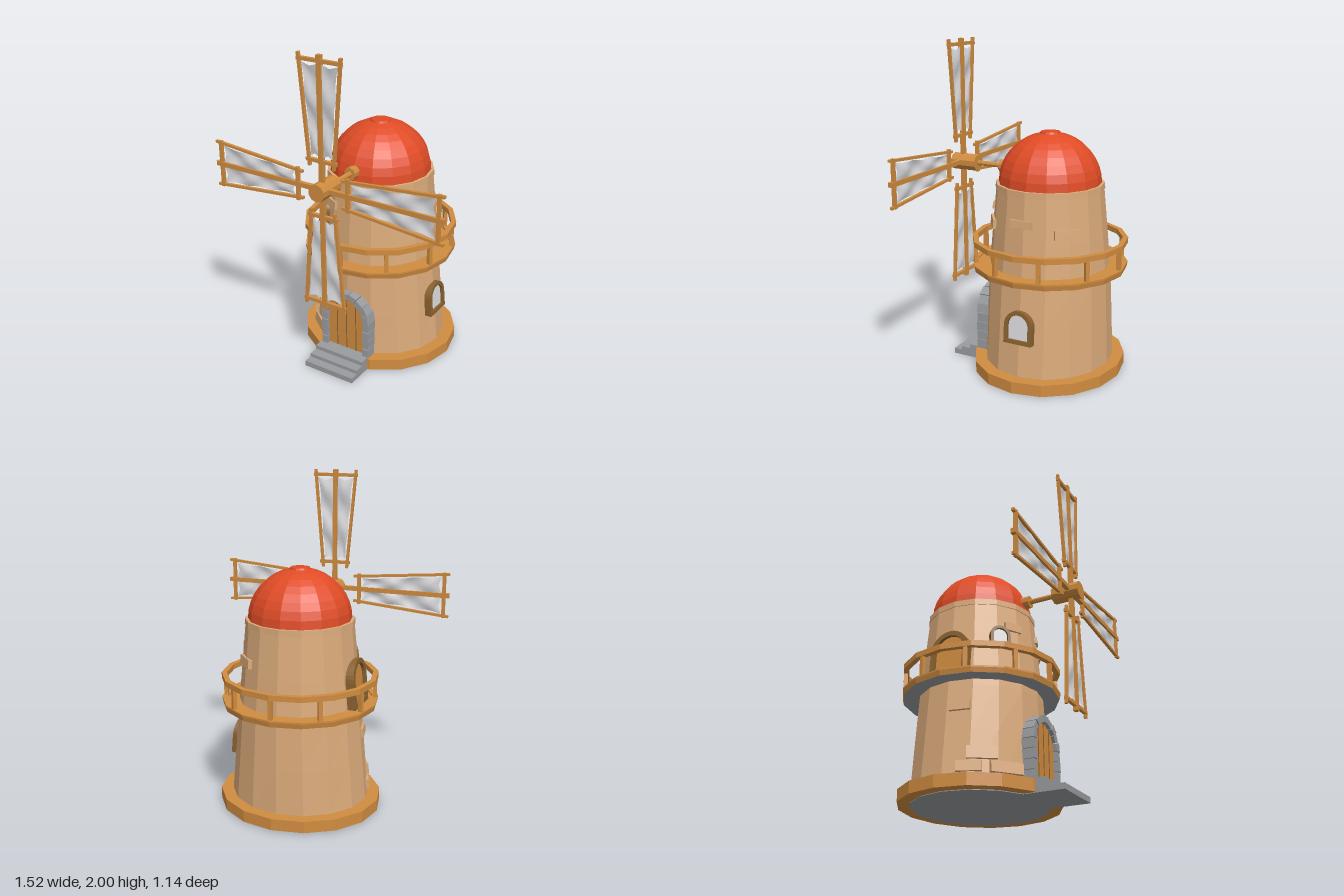
import * as THREE from 'three';

const mat = (name, color, side = THREE.FrontSide) => {
  const m = new THREE.MeshStandardMaterial({ color, side });
  m.name = name;
  return m;
};

// Facet a geometry so each face has its own normal
function flat(g) {
  const f = g.index ? g.toNonIndexed() : g;
  f.computeVertexNormals();
  return f;
}

export function createModel() {
  const wood = mat('wood', 0xd08c40);
  const darkWood = mat('darkWood', 0x8a6230);
  const plaster = mat('plaster', 0xdaaa7a);
  const stone = mat('stone', 0x999b9e);
  const roofRed = mat('roofRed', 0xe04c26);
  const cloth = mat('cloth', 0xdcdcdf, THREE.DoubleSide);
  const SIDES = 16;

  const model = new THREE.Group();
  model.name = 'windmill';
  const tower = new THREE.Group();
  tower.name = 'tower';
  tower.position.z = -0.1;
  model.add(tower);

  const add = (parent, name, geo, material, x = 0, y = 0, z = 0) => {
    const m = new THREE.Mesh(geo, material);
    m.name = name;
    m.position.set(x, y, z);
    parent.add(m);
    return m;
  };
  const box = (w, h, d) => new THREE.BoxGeometry(w, h, d);
  const lathe = (pts) =>
    flat(new THREE.LatheGeometry(pts.map(([r, y]) => new THREE.Vector2(r, y)), SIDES));
  const drum = (rTop, rBottom, h, n = SIDES) => flat(new THREE.CylinderGeometry(rTop, rBottom, h, n));

  // Wall radius and depth squash by height
  const wallR = (y) => 0.425 - 0.1 * (y - 0.075) / 1.065;
  const squash = (y) => THREE.MathUtils.clamp(0.92 + 0.08 * (y - 0.075) / 0.575, 0.92, 1);

  // Footing with a stone underside
  add(tower, 'footing', drum(0.5, 0.5, 0.071), wood, 0, 0.0395, 0).scale.z = 0.925;
  add(tower, 'footingUnderside', drum(0.425, 0.425, 0.004), stone, 0, 0.002, 0).scale.z = 0.925;

  // Tapered wall
  const wall = new THREE.CylinderGeometry(wallR(1.14), wallR(0.075), 1.065, SIDES, 4);
  wall.translate(0, 0.075 + 1.065 / 2, 0);
  const wp = wall.attributes.position;
  for (let i = 0; i < wp.count; i++) wp.setZ(i, wp.getZ(i) * squash(wp.getY(i)));
  add(tower, 'wall', flat(wall), plaster);
  add(tower, 'wallTopBand', drum(0.328, 0.33, 0.036), plaster, 0, 1.155, 0);

  // Domed roof
  const domePts = [];
  for (let i = 0; i <= 8; i++) {
    const a = (i / 8) * 1.37;
    domePts.push([0.31 * Math.cos(a), 1.172 + 0.3 * Math.sin(a)]);
  }
  add(tower, 'roof', lathe(domePts), roofRed);
  add(tower, 'roofCap', drum(0.058, 0.064, 0.014), roofRed, 0, 1.469, 0);

  // Balcony
  add(tower, 'balconyFloor', drum(0.475, 0.468, 0.03), [wood, wood, stone], 0, 0.66, 0);
  const ring = (r0, r1, y0, y1) => lathe([[r0, y0], [r1, y0], [r1, y1], [r0, y1], [r0, y0]]);
  add(tower, 'balconyKerb', ring(0.44, 0.475, 0.674, 0.684), wood);
  add(tower, 'balconyRail', ring(0.443, 0.475, 0.802, 0.835), wood);
  for (let i = 0; i < 10; i++) {
    const a = (i / 10) * Math.PI * 2;
    const post = add(tower, 'balconyPost', box(0.024, 0.13, 0.024), wood,
      0.453 * Math.sin(a), 0.74, 0.453 * Math.cos(a));
    post.rotation.y = a;
  }

  // Put an object on the wall; angle in degrees from the front towards +x
  const onWall = (obj, deg, y, out = 0) => {
    const a = THREE.MathUtils.degToRad(deg);
    const r = wallR(y) + out;
    obj.position.set(r * Math.sin(a), y, r * squash(y) * Math.cos(a));
    obj.rotation.set(-0.09, a, 0, 'YXZ');
    tower.add(obj);
  };

  // Raised wall bricks: angle, height, width, brick height
  [[35, 0.935, 0.15, 0.055], [21, 1.02, 0.07, 0.04], [87, 0.985, 0.14, 0.045],
    [133, 0.935, 0.15, 0.055], [-58, 0.205, 0.17, 0.07], [-38, 0.13, 0.19, 0.065],
    [-68, 0.13, 0.14, 0.06], [-78, 0.485, 0.12, 0.055], [-28, 1.0, 0.11, 0.05],
  ].forEach(([deg, y, w, h]) => {
    onWall(add(tower, 'brick', box(w, h, 0.03), plaster), deg, y, -0.006);
  });

  // Arched outline, bottom edge at y = 0
  const archPath = (Type, w, h, y0 = 0) => {
    const r = w / 2;
    const s = new Type();
    s.moveTo(-r, y0);
    s.lineTo(r, y0);
    s.lineTo(r, h - r);
    s.absarc(0, h - r, r, 0, Math.PI, false);
    s.lineTo(-r, y0);
    return s;
  };
  const extrude = (s, depth) =>
    new THREE.ExtrudeGeometry(s, { depth, bevelEnabled: false, curveSegments: 8 });

  // Framed arched opening
  const opening = (name, w, h, border, depth, fill) => {
    const g = new THREE.Group();
    g.name = name;
    const frame = archPath(THREE.Shape, w, h);
    frame.holes.push(archPath(THREE.Path, w - 2 * border, h - border, border));
    add(g, name + 'Frame', extrude(frame, depth), darkWood, 0, -h / 2, -depth / 2);
    add(g, name + 'Panel', extrude(archPath(THREE.Shape, w - border, h - border / 2, border / 2), 0.009),
      fill, 0, -h / 2, 0);
    return g;
  };
  onWall(opening('sideWindow', 0.18, 0.2, 0.024, 0.05, cloth), 90, 0.38, 0);
  onWall(opening('frontWindow', 0.12, 0.132, 0.018, 0.045, cloth), -43, 0.92, 0);
  onWall(opening('balconyDoor', 0.24, 0.285, 0.03, 0.055, wood), -90, 0.815, 0);

  // Entrance: planked door, stone surround and steps
  const entrance = new THREE.Group();
  entrance.name = 'entrance';
  entrance.position.x = 0.005;
  model.add(entrance);
  add(entrance, 'door', extrude(archPath(THREE.Shape, 0.28, 0.38), 0.08), wood, 0, 0.075, 0.22);
  [-0.068, 0, 0.068].forEach((x) =>
    add(entrance, 'plankJoint', box(0.005, x ? 0.34 : 0.37, 0.004), darkWood, x, x ? 0.245 : 0.26, 0.301));
  const R0 = 0.13, R1 = 0.17, SPRING = 0.315, STONES = 9;
  for (let i = 0; i < STONES; i++) {
    const a0 = (i / STONES) * Math.PI + 0.012, a1 = ((i + 1) / STONES) * Math.PI - 0.012;
    const s = new THREE.Shape();
    s.moveTo(R0 * Math.cos(a0), R0 * Math.sin(a0));
    s.lineTo(R1 * Math.cos(a0), R1 * Math.sin(a0));
    s.lineTo(R1 * Math.cos(a1), R1 * Math.sin(a1));
    s.lineTo(R0 * Math.cos(a1), R0 * Math.sin(a1));
    add(entrance, 'archStone', extrude(s, i % 2 ? 0.105 : 0.11), stone, 0, SPRING, 0.215);
  }
  for (const side of [-1, 1]) {
    for (let i = 0; i < 4; i++) {
      add(entrance, 'jambStone', box(0.04, 0.057, i % 2 ? 0.105 : 0.112), stone,
        side * 0.15, 0.105 + i * 0.06, 0.27);
    }
  }
  [[0, 0.034, 0.5], [0.034, 0.057, 0.445], [0.057, 0.083, 0.385]].forEach(([y0, y1, z]) =>
    add(model, 'step', box(0.345, y1 - y0, z - 0.25), stone, 0, (y0 + y1) / 2, (z + 0.25) / 2));

  // Axle and hub
  const AXLE_Y = 1.24;
  const axlePart = (name, r, z0, z1, n) => {
    add(model, name, drum(r, r, z1 - z0, n), wood, 0, AXLE_Y - 0.003, (z0 + z1) / 2).rotation.x = Math.PI / 2;
  };
  axlePart('axleCollar', 0.038, 0.15, 0.24, 10);
  axlePart('axle', 0.016, 0.2, 0.42, 8);
  axlePart('hub', 0.053, 0.4, 0.57, 10);

  // Half width of a blade at distance t from the hub
  const railX = (t) => 0.08 + (t - 0.13) * 0.088;
  const bladeLength = 0.759;

  // Billowing cloth between spar and rail
  const sailGeometry = (side) => {
    const g = new THREE.PlaneGeometry(1, 1, 6, 20);
    const p = g.attributes.position;
    for (let i = 0; i < p.count; i++) {
      const u = p.getX(i) + 0.5, v = p.getY(i) + 0.5;
      const t = 0.205 + v * 0.485 + 0.018 * (2 * v - 1) * Math.abs(2 * u - 1);
      const edge = railX(t) - 0.012 - 0.009 * Math.abs(Math.sin(v * Math.PI * 3));
      p.setXYZ(i, side * (0.012 + u * (edge - 0.012)), t,
        0.012 * Math.sin(v * Math.PI * 4) * Math.sin(u * Math.PI));
    }
    g.computeVertexNormals();
    return g;
  };

  // Four blades
  for (let k = 0; k < 4; k++) {
    const blade = new THREE.Group();
    blade.name = 'blade';
    blade.position.set(0, AXLE_Y, 0.51);
    blade.rotation.z = (k * Math.PI) / 2;
    model.add(blade);
    add(blade, 'spar', box(0.028, bladeLength, 0.026), wood, 0, bladeLength / 2, 0);
    add(blade, 'innerCrossbar', box(0.2, 0.02, 0.02), wood, 0, 0.167, 0);
    add(blade, 'outerCrossbar', box(0.288, 0.02, 0.02), wood, 0, 0.725, 0);
    for (const side of [-1, 1]) {
      const rail = add(blade, 'rail', box(0.016, 0.63, 0.018), wood, side * railX(0.444), 0.444, 0);
      rail.rotation.z = -side * 0.088;
      add(blade, 'sail', sailGeometry(side), cloth);
    }
  }
  return model;
}
